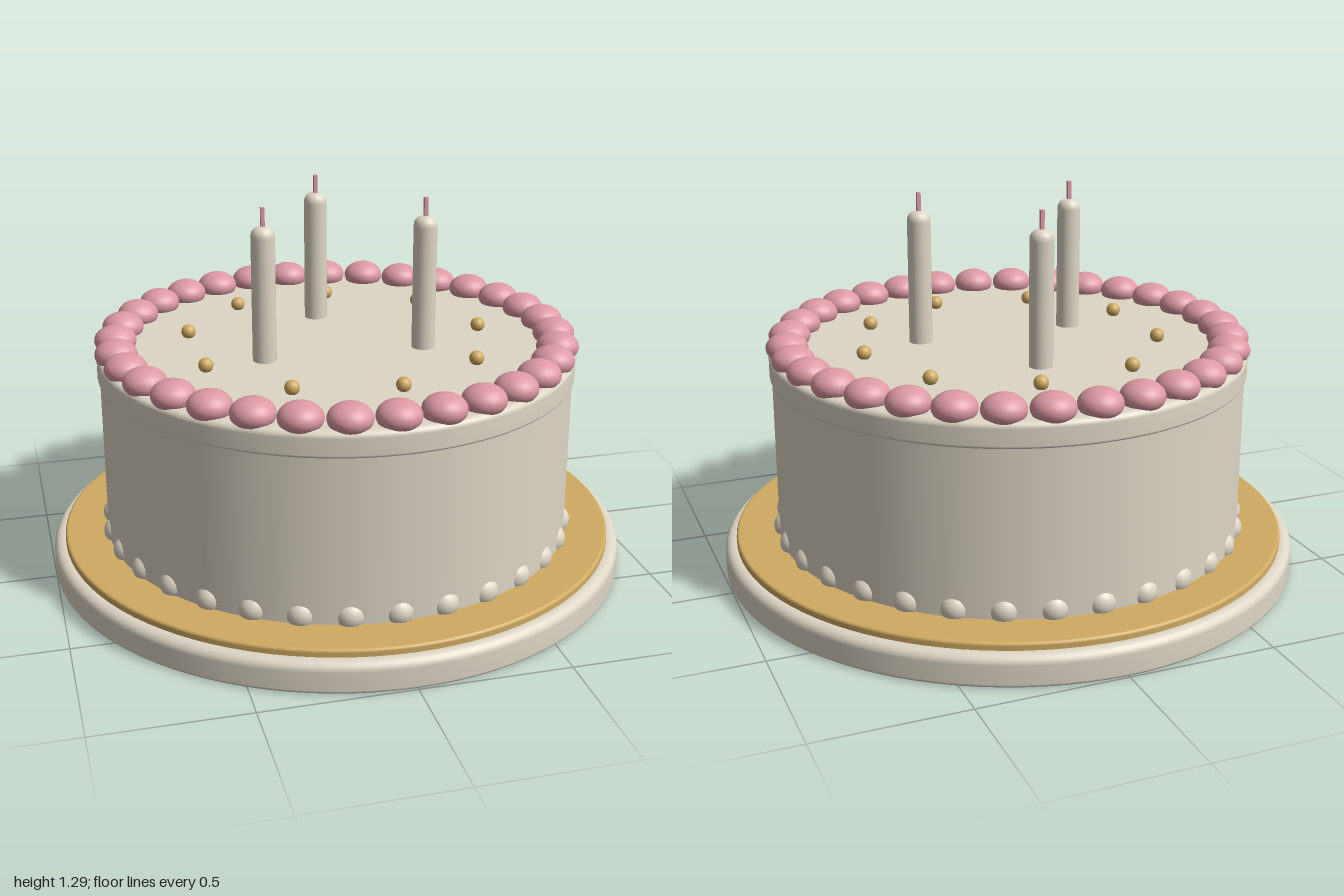
import * as THREE from 'three';

const material = (name, color) => {
  const m = new THREE.MeshStandardMaterial({ color });
  m.name = name;
  return m;
};

// Solid disc with rounded top and bottom edges, as separate smooth bands
function roundedDisc(radius, y0, y1, bottomRound, topRound, segments = 96) {
  const pts = [new THREE.Vector2(0, y0)];
  const arc = (cy, r, from) => {
    for (let i = 0; i <= 5; i++) {
      const a = from + (i / 5) * Math.PI / 2;
      pts.push(new THREE.Vector2(radius - r + Math.cos(a) * r, cy + Math.sin(a) * r));
    }
  };
  // Extra points next to each curve keep the flat faces flat
  pts.push(new THREE.Vector2(radius - bottomRound - 0.002, y0));
  arc(y0 + bottomRound, bottomRound, -Math.PI / 2);
  arc(y1 - topRound, topRound, 0);
  pts.push(new THREE.Vector2(radius - topRound - 0.002, y1));
  pts.push(new THREE.Vector2(0, y1));
  return new THREE.LatheGeometry(pts, segments);
}

export function createModel() {
  const cream = material('cream', 0xded6c6);
  const gold = material('gold', 0xd0aa62);
  const pink = material('pink', 0xdd99a4);

  const cake = new THREE.Group();
  cake.name = 'cake';

  const add = (parent, name, geometry, mat, x = 0, y = 0, z = 0) => {
    const mesh = new THREE.Mesh(geometry, mat);
    mesh.name = name;
    mesh.position.set(x, y, z);
    parent.add(mesh);
    return mesh;
  };

  // Ring of equal beads around the y axis
  const ring = (name, geometry, mat, count, radius, y) => {
    const group = new THREE.Group();
    group.name = name;
    for (let i = 0; i < count; i++) {
      const a = (i / count) * Math.PI * 2;
      add(group, name + 'Bead', geometry, mat, Math.cos(a) * radius, y, Math.sin(a) * radius);
    }
    cake.add(group);
  };

  // Board, gold liner, sponge and icing cap
  add(cake, 'board', roundedDisc(1, 0, 0.105, 0.012, 0.03), cream);
  add(cake, 'goldLiner', roundedDisc(0.96, 0.095, 0.13, 0.005, 0.01), gold);
  add(cake, 'cakeBody', new THREE.CylinderGeometry(0.81, 0.81, 0.58, 96), cream, 0, 0.41, 0);
  add(cake, 'icingCap', roundedDisc(0.818, 0.69, 0.775, 0.01, 0.02), cream);

  // Piped borders and scattered pearls
  const topBead = new THREE.SphereGeometry(0.072, 24, 16).scale(1, 0.7, 1);
  ring('topBorder', topBead, pink, 32, 0.755, 0.796);
  ring('bottomBorder', new THREE.SphereGeometry(0.051, 20, 14), cream, 32, 0.778, 0.152);
  ring('pearls', new THREE.SphereGeometry(0.025, 16, 12), gold, 9, 0.515, 0.795);

  // Candles with rounded tops and square wicks
  const candlePoints = [new THREE.Vector2(0.04, 0.76), new THREE.Vector2(0.04, 1.198)];
  for (let i = 0; i <= 6; i++) {
    const a = (i / 6) * Math.PI / 2;
    candlePoints.push(new THREE.Vector2(0.01 + Math.cos(a) * 0.03, 1.2 + Math.sin(a) * 0.032));
  }
  candlePoints.push(new THREE.Vector2(0, 1.233));
  const candleGeometry = new THREE.LatheGeometry(candlePoints, 28);
  const wickGeometry = new THREE.BoxGeometry(0.013, 0.085, 0.013);
  for (const [x, z] of [[0, -0.293], [-0.276, 0.12], [0.276, 0.12]]) {
    const candle = new THREE.Group();
    candle.name = 'candle';
    candle.position.set(x, 0, z);
    add(candle, 'candleStick', candleGeometry, cream);
    add(candle, 'wick', wickGeometry, pink, 0, 1.2525, 0);
    cake.add(candle);
  }

  return cake;
}
